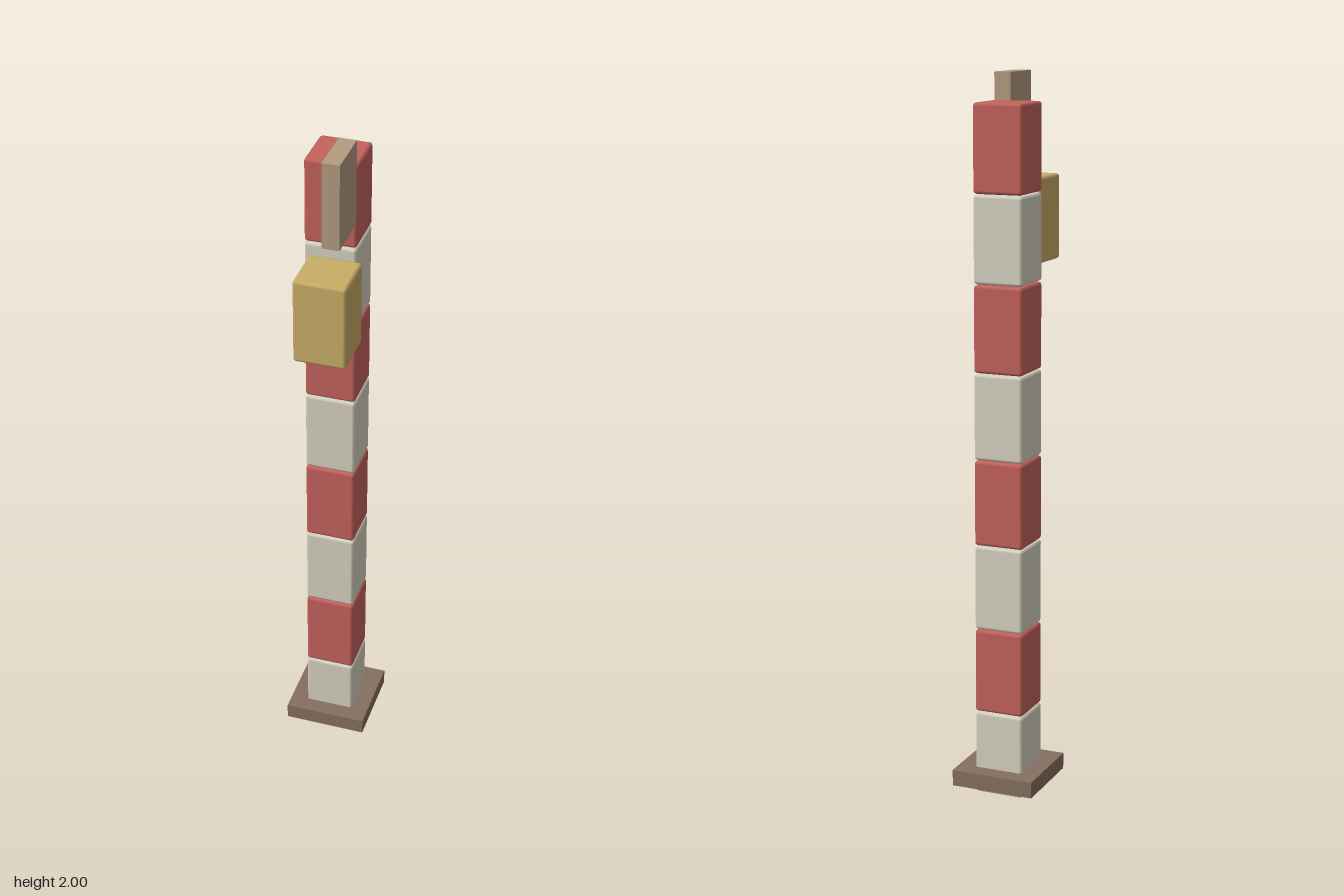
import * as THREE from 'three';
import { RoundedBoxGeometry } from 'three/addons/geometries/RoundedBoxGeometry.js';

const material = (color) => new THREE.MeshStandardMaterial({ color });

// Places a named mesh by its centre.
function part(group, name, geometry, mat, x, y, z) {
  const mesh = new THREE.Mesh(geometry, mat);
  mesh.name = name;
  mesh.position.set(x, y, z);
  group.add(mesh);
}

export function createModel() {
  const group = new THREE.Group();
  group.name = 'stripedPost';
  const red = material(0xc4625c);
  const cream = material(0xd6d2c2);
  const gold = material(0xc8ae66);
  const wood = material(0x86705f);
  const lightWood = material(0xb49c80);

  const pitch = 0.241;
  const postZ = -0.098;
  const block = new RoundedBoxGeometry(0.143, 0.239, 0.143, 1, 0.009);

  // Stacked post blocks in alternating colours
  for (let i = 0; i < 8; i++) {
    part(group, 'postBlock' + (i + 1), block, i % 2 ? red : cream, 0, 0.1195 + i * pitch, postZ);
  }

  // Square foot plate around the lowest block
  part(group, 'footPlate', new THREE.BoxGeometry(0.239, 0.046, 0.239), wood, 0, 0.052, postZ);

  // Bracket at the top, reaching forward, with the lantern below it
  part(group, 'bracket', new THREE.BoxGeometry(0.047, 0.238, 0.143), lightWood, 0.047, 1.881, 0.047);
  part(group, 'lantern', block, gold, 0.047, 1.594, 0.144);

  return group;
}
